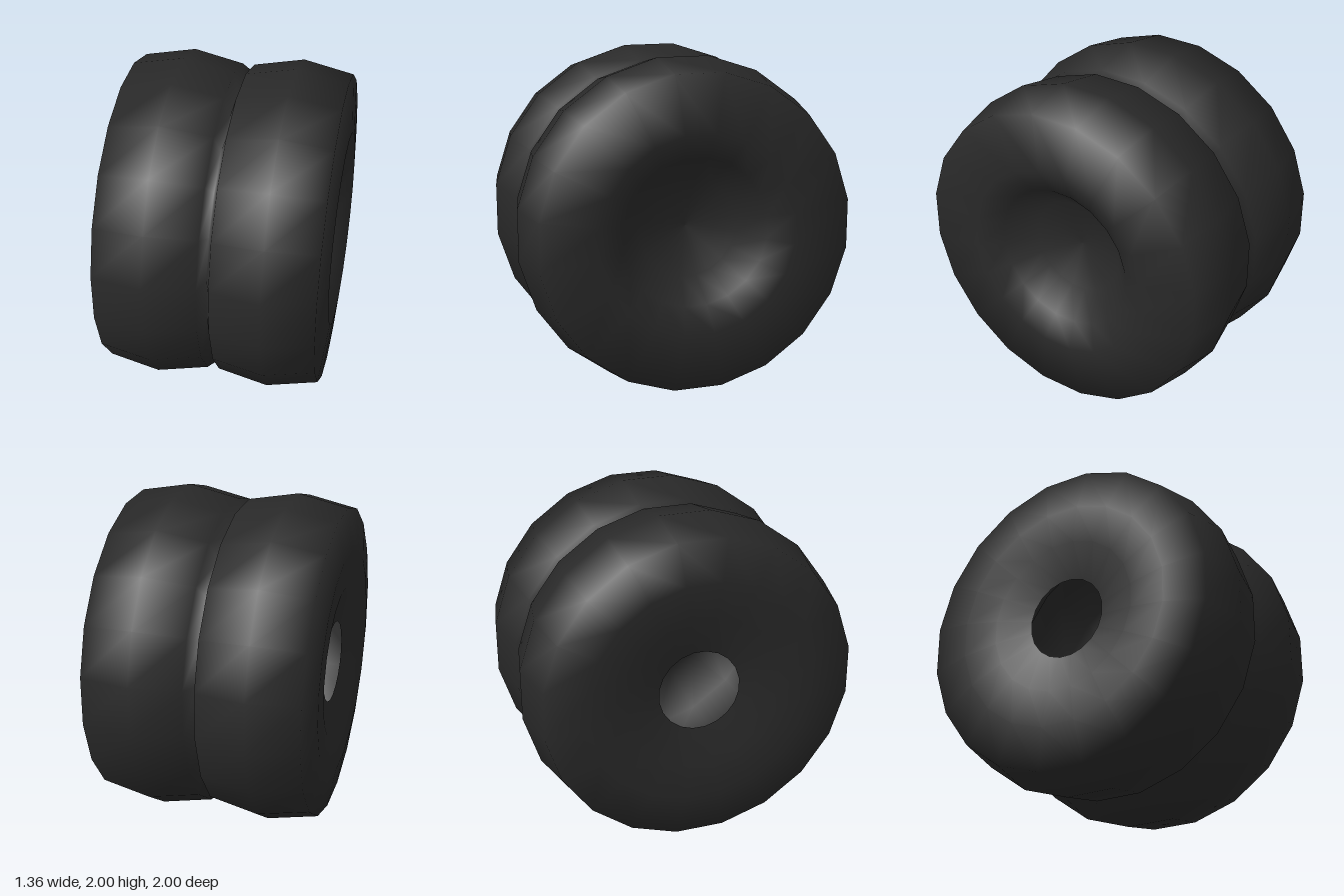
import * as THREE from 'three';

export function createModel() {
  const group = new THREE.Group();
  group.name = 'twinWheels';

  // The tyres are a hollow shell, open at the back
  const rubber = new THREE.MeshStandardMaterial({ color: 0x292929, side: THREE.DoubleSide });
  rubber.name = 'blackRubber';

  // Section as [radius, x]: axle hole, shallow back, two crowned treads with a groove, dished face
  const section = [
    [0.25, -0.612], [0.48, -0.665], [0.7, -0.682],
    [0.952, -0.642], [1.0125, -0.335], [0.952, -0.03],
    [0.815, 0],
    [0.952, 0.04], [1.0125, 0.345], [0.952, 0.652],
    [0.6, 0.682], [0.45, 0.6], [0.3, 0.45], [0, 0.4],
  ].map(([r, x]) => new THREE.Vector2(r, x));

  // Twenty-sided pair of tyres, turned so that a flat rests on the ground
  const tyreGeometry = new THREE.LatheGeometry(section, 20, Math.PI / 20);
  tyreGeometry.rotateZ(-Math.PI / 2);
  const tyres = new THREE.Mesh(tyreGeometry, rubber);
  tyres.name = 'tyres';
  tyres.position.y = 1;
  group.add(tyres);

  return group;
}
